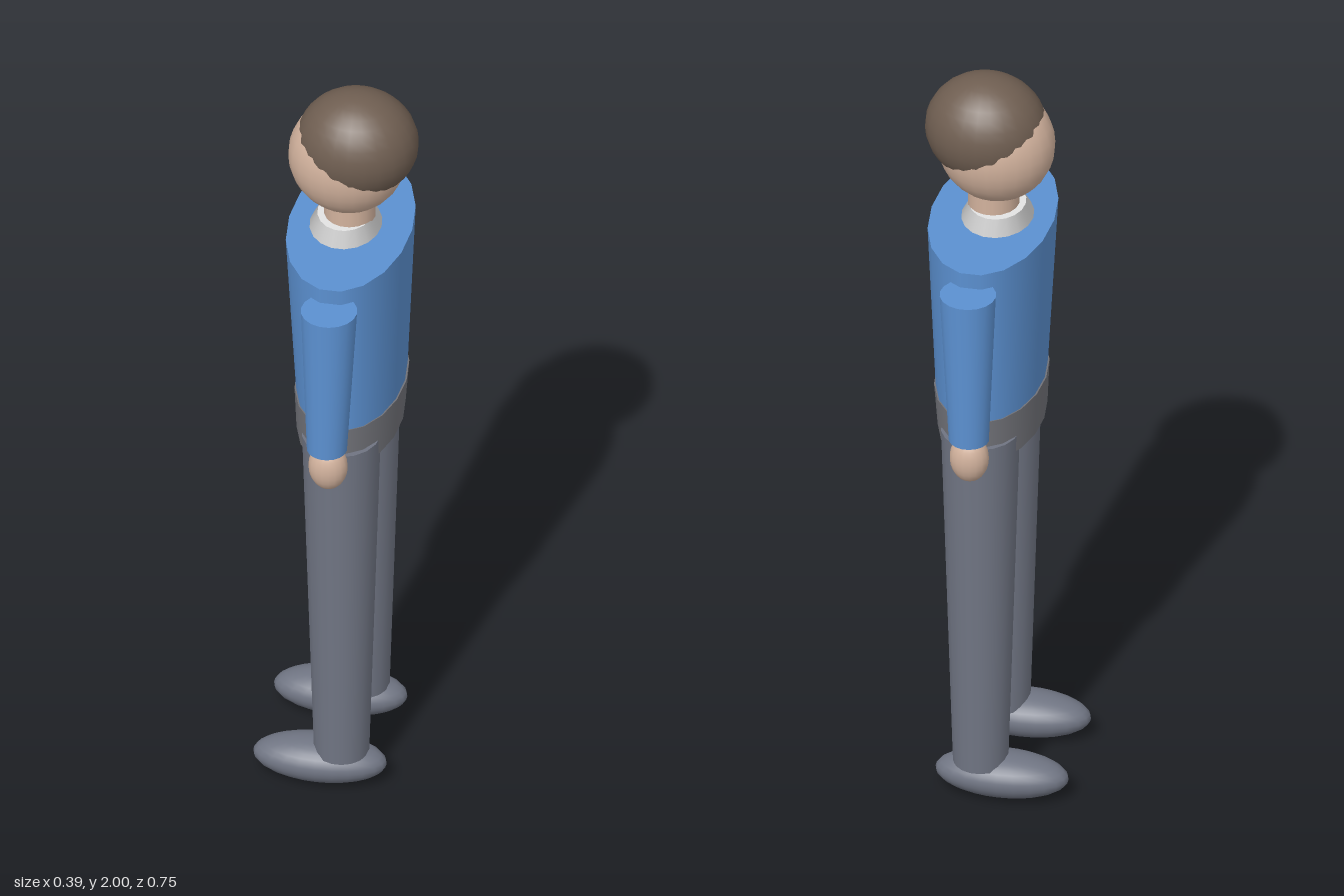
import * as THREE from 'three';

const paint = (name, color) => {
  const m = new THREE.MeshStandardMaterial({ color });
  m.name = name;
  return m;
};

export function createModel() {
  const blue = paint('blue jumper', 0x5b90d0);
  const grey = paint('grey trousers', 0x6f7482);
  const hipGrey = paint('hip grey', 0x717278);
  const skin = paint('skin', 0xd2b29d);
  const brown = paint('brown hair', 0x6f5e51);
  const white = paint('white collar', 0xe2e2e2);

  const model = new THREE.Group();
  model.name = 'standingPerson';

  const add = (name, geometry, material) => {
    const mesh = new THREE.Mesh(geometry, material);
    mesh.name = name;
    model.add(mesh);
  };

  // Ellipsoid given by centre and radii
  const ellipsoid = (name, material, [x, y, z], [rx, ry, rz], w = 24, h = 16) => {
    const g = new THREE.SphereGeometry(1, w, h);
    g.scale(rx, ry, rz).translate(x, y, z);
    add(name, g, material);
  };

  // Capped elliptical tube; each end is [x, y, z, radiusX, radiusZ]
  const taper = (name, material, bottom, top, sides = 18) => {
    const g = new THREE.CylinderGeometry(1, 1, 1, sides);
    g.rotateY(Math.PI / 2);
    const p = g.attributes.position;
    for (let i = 0; i < p.count; i++) {
      const [x, y, z, rx, rz] = p.getY(i) > 0 ? top : bottom;
      p.setXYZ(i, x + p.getX(i) * rx, y, z + p.getZ(i) * rz);
    }
    // scale the normals to suit the oval section
    const n = g.attributes.normal;
    const v = new THREE.Vector3();
    for (let i = 0; i < n.count; i++) {
      if (Math.abs(n.getY(i)) > 0.5) continue;
      v.set(n.getX(i) / top[3], 0, n.getZ(i) / top[4]).normalize();
      n.setXYZ(i, v.x, v.y, v.z);
    }
    add(name, g, material);
  };

  // Body; the figure looks towards -x
  taper('torso', blue, [0.026, 1.14, 0, 0.133, 0.236], [0.023, 1.605, 0, 0.154, 0.285]);
  taper('hips', hipGrey, [0.024, 1.02, 0, 0.13, 0.23], [0.026, 1.14, 0, 0.137, 0.238]);
  taper('collar', white, [0.011, 1.6, 0, 0.092, 0.114], [0.011, 1.643, 0, 0.07, 0.086]);
  taper('neck', skin, [0.021, 1.61, 0, 0.064, 0.069], [0.021, 1.72, 0, 0.064, 0.069]);

  // Head, with the hair as an overlapping shell set back and up
  ellipsoid('head', skin, [0.015, 1.815, 0], [0.147, 0.153, 0.128]);
  ellipsoid('hair', brown, [0.04, 1.86, 0], [0.152, 0.14, 0.134]);

  // Limbs, mirrored across z
  for (const [side, s] of [['right', 1], ['left', -1]].map(([n, k]) => [n, -k])) {
    taper(side + 'Arm', blue, [0.021, 1.14, s * 0.311, 0.05, 0.049], [0.025, 1.56, s * 0.304, 0.07, 0.07]);
    ellipsoid(side + 'Hand', skin, [0.022, 1.08, s * 0.301], [0.049, 0.066, 0.041], 18, 12);
    taper(side + 'Leg', grey, [0.026, 0.09, s * 0.138, 0.069, 0.072], [0.026, 1.065, s * 0.14, 0.098, 0.104]);
    ellipsoid(side + 'Shoe', grey, [-0.028, 0.057, s * 0.14], [0.167, 0.057, 0.075]);
  }

  return model;
}
